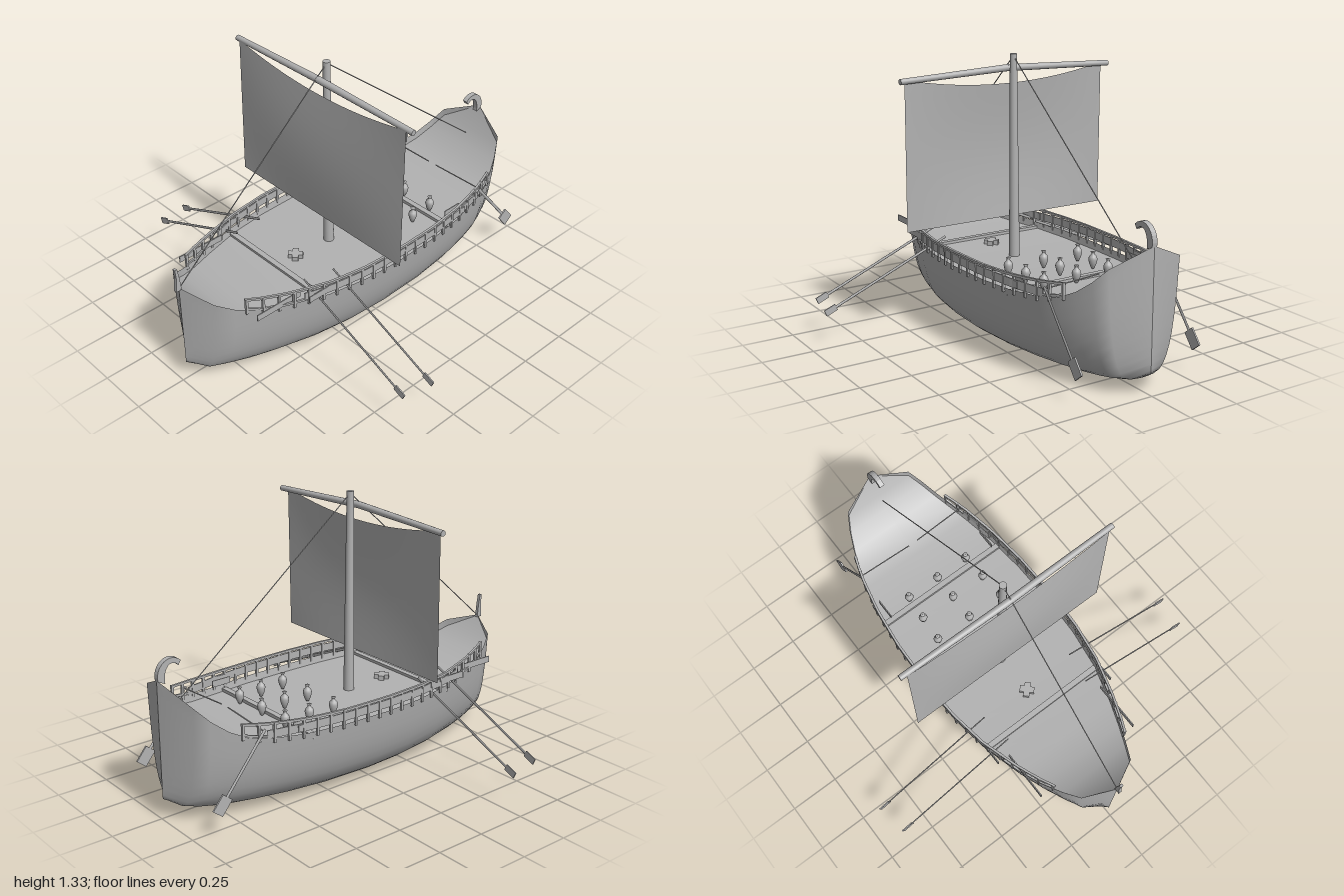
import * as THREE from 'three';

const wood = new THREE.MeshStandardMaterial({ color: 0xb2b2b2, side: THREE.DoubleSide });
wood.name = 'plain grey';

// Hull stations: z, half width, keel height, sheer height
const STATIONS = [
  [-0.99, 0.0, 0.1, 0.665], [-0.93, 0.188, 0.065, 0.58], [-0.87, 0.227, 0.052, 0.515], [-0.8, 0.26, 0.044, 0.46],
  [-0.72, 0.293, 0.037, 0.42], [-0.62, 0.322, 0.03, 0.4], [-0.45, 0.358, 0.02, 0.388], [-0.25, 0.381, 0.01, 0.384],
  [0, 0.388, 0.004, 0.382], [0.2, 0.38, 0.008, 0.384], [0.4, 0.35, 0.016, 0.39], [0.6, 0.29, 0.027, 0.4],
  [0.72, 0.243, 0.036, 0.412], [0.82, 0.195, 0.046, 0.445], [0.9, 0.15, 0.06, 0.49], [0.975, 0.0, 0.1, 0.54],
];
const DECK_DROP = 0.036;

// Linear lookup of half width and sheer at any z
function hullAt(z) {
  let i = 0;
  while (i < STATIONS.length - 2 && STATIONS[i + 1][0] < z) i++;
  const a = STATIONS[i], b = STATIONS[i + 1], t = (z - a[0]) / (b[0] - a[0]);
  return { w: THREE.MathUtils.lerp(a[1], b[1], t), y: THREE.MathUtils.lerp(a[3], b[3], t) };
}

function add(parent, name, geo, x = 0, y = 0, z = 0) {
  const m = new THREE.Mesh(geo, wood);
  m.name = name;
  m.position.set(x, y, z);
  parent.add(m);
  return m;
}

// Straight round pole between two points
function pole(parent, name, a, b, r0, r1 = r0, sides = 8) {
  const p = new THREE.Vector3(...a), q = new THREE.Vector3(...b), d = q.clone().sub(p);
  const m = add(parent, name, new THREE.CylinderGeometry(r1, r0, d.length(), sides));
  m.position.copy(p).add(q).multiplyScalar(0.5);
  m.quaternion.setFromUnitVectors(new THREE.Vector3(0, 1, 0), d.normalize());
  return m;
}

// Surface skinned over equal-length rows of points
function skin(rows) {
  const n = rows[0].length, pos = rows.flat(2), idx = [];
  for (let i = 0; i < rows.length - 1; i++) for (let j = 0; j < n - 1; j++) {
    const a = i * n + j, b = a + n;
    idx.push(a, a + 1, b, a + 1, b + 1, b);
  }
  const g = new THREE.BufferGeometry();
  g.setAttribute('position', new THREE.Float32BufferAttribute(pos, 3));
  g.setIndex(idx);
  g.computeVertexNormals();
  return g;
}

// Flat profile in the (-z, y) plane, given thickness across x
function sidePlate(parent, name, shape, depth) {
  const g = new THREE.ExtrudeGeometry(shape, { depth, bevelEnabled: false });
  g.translate(0, 0, -depth / 2).rotateY(Math.PI / 2);
  add(parent, name, g);
}

function buildHull(ship) {
  const half = new THREE.SplineCurve([[0, 0], [0.5, 0.035], [0.77, 0.23], [0.92, 0.58], [1, 1]]
    .map(p => new THREE.Vector2(...p))).getPoints(12);
  const section = [...half.slice(1).reverse().map(p => [-p.x, p.y]), ...half.map(p => [p.x, p.y])];
  add(ship, 'hull', skin(STATIONS.map(([z, w, k, s]) => section.map(([u, v]) => [u * w, k + v * (s - k), z]))));

  // Deck sunk just below the gunwale, meeting it at the stem and stern
  add(ship, 'deck', skin(STATIONS.map(([z, w, , s]) => {
    const y = s - (Math.abs(z) > 0.95 ? 0.004 : DECK_DROP);
    return [[w * 0.984, y, z], [0, y, z], [-w * 0.984, y, z]];
  })));
  for (const z of [-0.405, 0.415])
    add(ship, 'deckBeam', new THREE.BoxGeometry(hullAt(z).w * 1.97, 0.016, 0.028), 0, 0.36, z);

  // Stem post and curled stern ornament
  sidePlate(ship, 'stemPost', new THREE.Shape([[0.965, 0.53], [0.995, 0.53], [0.988, 0.6], [0.992, 0.65],
    [0.98, 0.65], [0.972, 0.6]].map(p => new THREE.Vector2(-p[0], p[1]))), 0.016);
  const curl = new THREE.Shape();
  curl.moveTo(0.99, 0.66);
  curl.bezierCurveTo(1.005, 0.73, 0.93, 0.79, 0.872, 0.735);
  curl.lineTo(0.885, 0.715);
  curl.bezierCurveTo(0.92, 0.755, 0.965, 0.72, 0.955, 0.645);
  sidePlate(ship, 'sternCurl', curl, 0.026);
}

// Railing along one side, following the sheer
function buildRailing(ship, s) {
  const rail = new THREE.Group();
  rail.name = s > 0 ? 'leftRailing' : 'rightRailing';
  const topY = z => 0.458 + 0.036 * Math.pow(Math.abs(z) / 0.77, 3);
  const strip = (name, z0, z1, low, high, e) => {
    const rows = [];
    for (let i = 0; i <= 24; i++) {
      const z = z0 + (z1 - z0) * i / 24, x = s * hullAt(z).w;
      rows.push([[x - e, low(z), z], [x + e, low(z), z], [x + e, high(z), z], [x - e, high(z), z], [x - e, low(z), z]]);
    }
    const g = skin(rows).toNonIndexed();
    g.computeVertexNormals();
    add(rail, name, g);
  };
  strip('topRail', -0.75, 0.78, z => topY(z) - 0.011, topY, 0.006);
  strip('railBoard', -0.64, 0.52, () => 0.402, () => 0.441, 0.003);
  strip('bowBottomRail', 0.52, 0.78, z => hullAt(z).y + 0.003, z => hullAt(z).y + 0.014, 0.005);
  strip('sternBottomRail', -0.75, -0.64, z => hullAt(z).y + 0.003, z => hullAt(z).y + 0.014, 0.005);
  for (let i = 0; i <= 22; i++) {
    const z = -0.745 + i * 1.52 / 22, { w, y } = hullAt(z), low = y - 0.02;
    add(rail, 'railPost', new THREE.BoxGeometry(0.012, topY(z) - low, 0.012), s * w, (topY(z) + low) / 2, z);
  }
  // Straight boards lashed beside the rail
  for (const [x, z, l] of [[0.283, 0.645, 0.25], [0.347, 0.45, 0.14], [0.356, -0.45, 0.1], [0.317, -0.45, 0.1]])
    add(rail, 'sideBoard', new THREE.BoxGeometry(0.005, 0.032, l), s * x, 0.422, z);
  ship.add(rail);
}

function buildOars(ship, s) {
  for (const [z, x0, x1] of [[0.3, 0.265, 0.903], [0.457, 0.24, 0.878]]) {
    const y = x => 0.382 - (x - 0.38) * 0.425;
    pole(ship, 'oarShaft', [s * x0, y(x0), z], [s * (x1 - 0.04), y(x1 - 0.04), z], 0.007).scale.z = 0.4;
    const blade = add(ship, 'oarBlade', new THREE.BoxGeometry(0.06, 0.032, 0.006), s * (x1 - 0.02), y(x1 - 0.02), z);
    blade.rotation.z = -s * 0.4;
  }
  // Steering oar with its tiller
  const x = s * 0.316;
  pole(ship, 'steeringShaft', [x, 0.45, -0.65], [x, 0.19, -0.86], 0.008).scale.x = 0.5;
  const blade = add(ship, 'steeringBlade', new THREE.BoxGeometry(0.008, 0.085, 0.06), x, 0.16, -0.884);
  blade.rotation.x = 0.68;
  pole(ship, 'tiller', [x, 0.445, -0.66], [s * 0.025, 0.455, -0.645], 0.003);
}

function buildRig(ship) {
  pole(ship, 'mast', [0, 0.346, 0.085], [0, 1.335, 0.09], 0.026, 0.017, 20);
  for (const s of [-1, 1]) pole(ship, 'yard', [0, 1.262, 0.142], [s * 0.578, 1.243, 0.13], 0.017, 0.014, 12);
  pole(ship, 'forestay', [0, 1.325, 0.09], [0, 0.54, 0.97], 0.0025, 0.0025, 6);
  pole(ship, 'backstay', [0, 1.325, 0.09], [0, 0.535, -0.895], 0.0025, 0.0025, 6);

  // Sail with a sagging head and a gentle belly
  const rows = [];
  for (let j = 0; j <= 12; j++) {
    const v = j / 12, row = [];
    for (let i = 0; i <= 20; i++) {
      const u = i / 10 - 1, top = 1.188 + 0.06 * u * u;
      row.push([u * 0.548, 0.53 + (top - 0.53) * v, 0.152 - 0.008 * v + 0.02 * Math.sin(v * Math.PI) * (1 - u * u)]);
    }
    rows.push(row);
  }
  add(ship, 'sail', skin(rows));
}

function buildCargo(ship) {
  const jar = new THREE.LatheGeometry([[0, 0], [0.007, 0.003], [0.017, 0.025], [0.022, 0.048], [0.018, 0.062],
    [0.008, 0.072], [0.008, 0.08], [0.012, 0.085], [0, 0.085]].map(p => new THREE.Vector2(...p)), 14);
  for (const [z, x] of [[-0.44, 0.178], [-0.308, 0.188], [-0.172, 0.196]])
    for (const k of [-1, 0, 1]) add(ship, 'jar', jar, k * x, 0.35, z);
  // Crossed bundle on the foredeck
  for (const a of [-1, 1])
    add(ship, 'bundle', new THREE.BoxGeometry(0.072, 0.022, 0.03), 0, 0.362, 0.3).rotation.y = a * Math.PI / 4;
}

export function createModel() {
  const ship = new THREE.Group();
  ship.name = 'sailingShip';
  buildHull(ship);
  for (const s of [-1, 1]) {
    buildRailing(ship, s);
    buildOars(ship, s);
  }
  buildRig(ship);
  buildCargo(ship);
  return ship;
}
